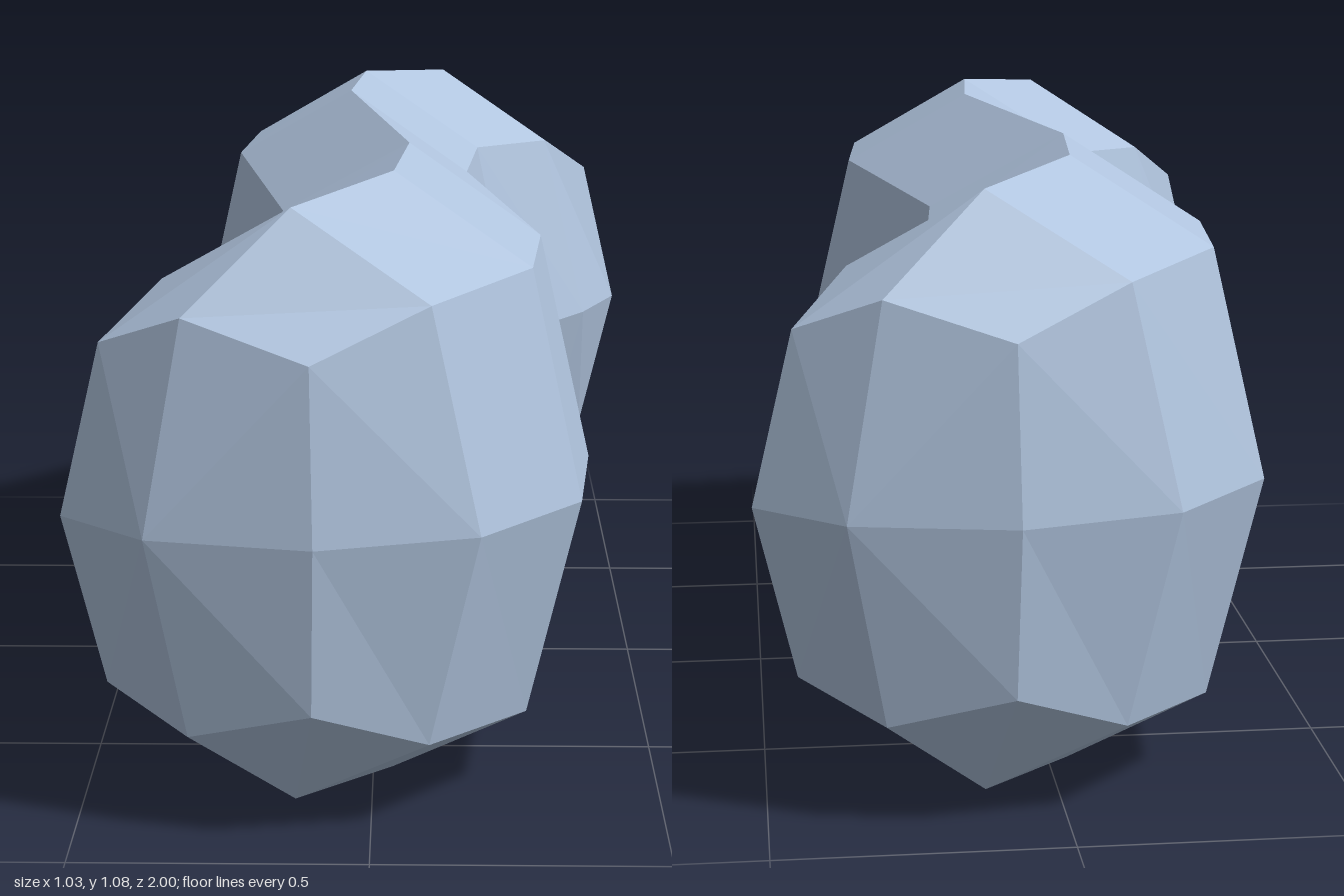
import * as THREE from 'three';

const MID = 0.54;

// Half of the body: rings from the front cap to the waist.
// Each ring: five [x, z] points from left edge over the top to right edge,
// then the shoulder and crown heights above the middle.
const RINGS = [
  { p: [[-0.515, 0.82], [-0.445, 0.815], [-0.303, 0.905], [-0.095, 0.97], [-0.09, 1.0]], shoulder: 0.295, crown: 0.357 },
  { p: [[-0.44, 0.66], [-0.35, 0.695], [-0.13, 0.795], [0.098, 0.89], [0.18, 0.925]], shoulder: 0.375, crown: 0.515 },
  { p: [[-0.285, 0.45], [-0.2, 0.49], [0.035, 0.595], [0.267, 0.69], [0.354, 0.728]], shoulder: 0.394, crown: 0.54 },
  { p: [[-0.26, 0.18], [-0.173, 0.205], [0.06, 0.315], [0.292, 0.42], [0.382, 0.455]], shoulder: 0.394, crown: 0.54 },
];
const POLE = [-0.366, MID, 0.948];

// Eight points around a ring, mirrored top to bottom
function ringPoints({ p, shoulder, crown }) {
  const heights = [0, shoulder, crown, shoulder, 0];
  const upper = p.map(([x, z], i) => [x, MID + heights[i], z]);
  const lower = [3, 2, 1].map((i) => [p[i][0], MID - heights[i], p[i][1]]);
  return [...upper, ...lower];
}

// Half-turn about the vertical axis gives the other half
const turnPoint = ([x, y, z]) => [-x, y, -z];
const turnRing = (r) => ({ ...r, p: r.p.map(([x, z]) => [-x, -z]).reverse() });

function bodyGeometry() {
  const rings = [...RINGS, ...[...RINGS].reverse().map(turnRing)].map(ringPoints);
  const pos = [];
  const quad = (a, b, c, d) => pos.push(...a, ...b, ...c, ...a, ...c, ...d);

  // Sides between neighbouring rings
  for (let k = 0; k < rings.length - 1; k++) {
    const a = rings[k], b = rings[k + 1];
    for (let i = 0; i < 8; i++) {
      const j = (i + 1) % 8;
      quad(a[i], a[j], b[j], b[i]);
    }
  }

  // Domed end caps, four quads each
  const front = rings[0], back = rings[rings.length - 1];
  for (let i = 0; i < 8; i += 2) {
    const j = (i + 2) % 8;
    quad(POLE, front[j], front[i + 1], front[i]);
    quad(turnPoint(POLE), back[i], back[i + 1], back[j]);
  }

  const g = new THREE.BufferGeometry();
  g.setAttribute('position', new THREE.Float32BufferAttribute(pos, 3));
  g.computeVertexNormals(); // unshared corners give flat facets
  return g;
}

export function createModel() {
  const group = new THREE.Group();
  group.name = 'curvedCapsule';
  const material = new THREE.MeshStandardMaterial({ color: 0xb0c4de });
  material.name = 'paleBlue';
  const body = new THREE.Mesh(bodyGeometry(), material);
  body.name = 'body';
  group.add(body);
  return group;
}
